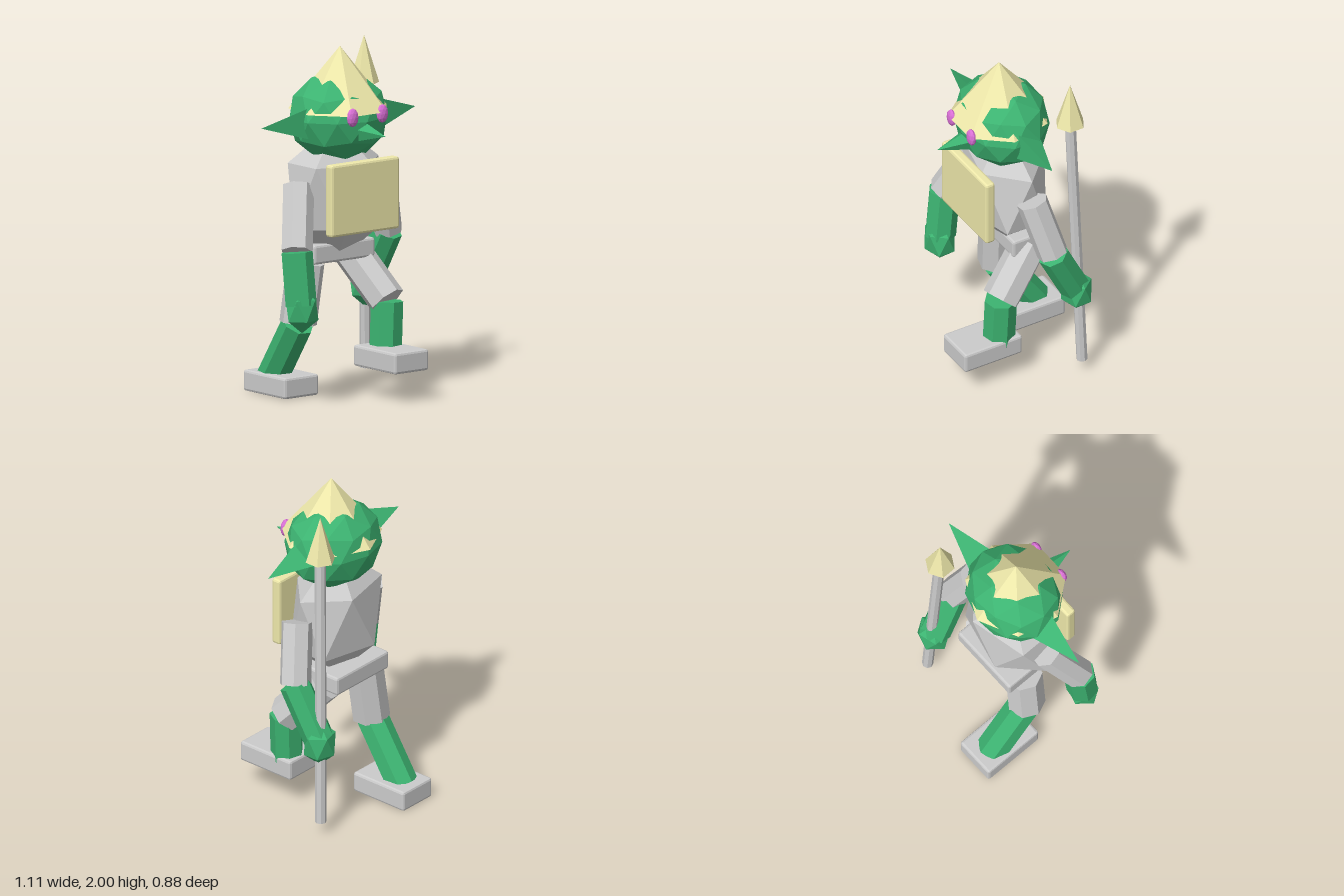
import * as THREE from 'three';
import { RoundedBoxGeometry } from 'three/addons/geometries/RoundedBoxGeometry.js';

const mat = (color) => new THREE.MeshStandardMaterial({ color, flatShading: true });

export function createModel() {
  const model = new THREE.Group();
  const grey = mat(0xcccccc), skin = mat(0x3cb371), gold = mat(0xeee8aa), orchid = mat(0xda70d6);

  function add(name, geometry, material, position = [0, 0, 0]) {
    const mesh = new THREE.Mesh(geometry, material);
    mesh.name = name;
    mesh.position.set(...position);
    model.add(mesh);
    return mesh;
  }

  // Faceted ball standing on a corner, stretched along each axis
  function ball(name, radii, detail, material, position) {
    const g = new THREE.IcosahedronGeometry(1, detail);
    g.rotateX(-Math.atan((1 + Math.sqrt(5)) / 2)).rotateY(Math.PI / 2).scale(...radii);
    return add(name, g, material, position);
  }

  // Straight prism between two points
  function limb(name, from, to, radius, material, sides = 7) {
    const a = new THREE.Vector3(...from), b = new THREE.Vector3(...to);
    const dir = b.clone().sub(a);
    const mesh = add(name, new THREE.CylinderGeometry(radius, radius, dir.length(), sides), material);
    mesh.position.copy(a).add(b).multiplyScalar(0.5);
    mesh.quaternion.setFromUnitVectors(new THREE.Vector3(0, 1, 0), dir.normalize());
    return mesh;
  }

  // Block with narrow bevelled edges
  const block = (name, size, material, position) =>
    add(name, new RoundedBoxGeometry(...size, 1, 0.014), material, position);

  // Head, hat and face
  ball('head', [0.3, 0.26, 0.26], 1, skin, [0, 1.6, 0.02]);
  add('hat', new THREE.ConeGeometry(0.29, 0.355, 7).rotateY(Math.PI), gold, [0, 1.8225, 0.035]);
  add('nose', new THREE.ConeGeometry(0.065, 0.21, 5).rotateY(Math.PI).rotateX(Math.PI / 2), skin, [0, 1.54, 0.335]);
  for (const s of [1, -1]) {
    const side = s > 0 ? 'left' : 'right';
    const ear = new THREE.ConeGeometry(0.105, 0.31, 3).rotateY(Math.PI).rotateZ(-s * Math.PI / 2);
    add(side + 'Ear', ear, skin, [s * 0.4, 1.59, 0.02]);
    ball(side + 'Eye', [0.038, 0.053, 0.024], 1, orchid, [s * 0.107, 1.637, 0.28]);
  }

  // Body
  ball('torso', [0.34, 0.4, 0.24], 0, grey, [0, 1.16, 0]);
  block('pelvis', [0.44, 0.11, 0.28], grey, [0.003, 0.835, -0.065]);
  block('chestPlate', [0.49, 0.41, 0.06], gold, [0, 1.17, 0.235]);

  // Arms: shoulder, elbow, wrist
  const arms = {
    left: [[0.32, 1.22, 0.01], [0.42, 0.89, -0.065], [0.395, 0.59, -0.22], [0.4, 0.565, -0.23]],
    right: [[-0.28, 1.23, 0.01], [-0.405, 0.89, 0.15], [-0.4, 0.59, 0.18], [-0.395, 0.565, 0.185]],
  };
  for (const [side, [shoulder, elbow, wrist, hand]] of Object.entries(arms)) {
    limb(side + 'UpperArm', shoulder, elbow, 0.09, grey);
    limb(side + 'Forearm', elbow, wrist, 0.09, skin);
    ball(side + 'Hand', [0.108, 0.135, 0.095], 0, skin, hand);
  }

  // Legs in mid stride: hip, knee, ankle, boot centre
  const legs = {
    left: [[0.165, 0.8, -0.07], [0.235, 0.54, 0.165], [0.22, 0.25, 0.17], [0.19, 0.235, 0.255]],
    right: [[-0.17, 0.77, -0.06], [-0.212, 0.43, -0.075], [-0.2, 0.08, -0.32], [-0.19, 0.065, -0.255]],
  };
  for (const [side, [hip, knee, ankle, boot]] of Object.entries(legs)) {
    limb(side + 'Thigh', hip, knee, 0.108, grey);
    limb(side + 'Shin', knee, ankle, 0.093, skin);
    block(side + 'Boot', [0.245, 0.12, 0.375], grey, boot);
  }

  // Spear held in the left hand
  limb('spearShaft', [0.42, 0.08, -0.255], [0.37, 1.74, -0.208], 0.032, grey, 8);
  add('spearTip', new THREE.ConeGeometry(0.086, 0.27, 6), gold, [0.37, 1.85, -0.207]);

  // Stand exactly on the ground
  model.position.y = -0.005;
  const root = new THREE.Group();
  root.name = 'spearman';
  root.add(model);
  return root;
}
